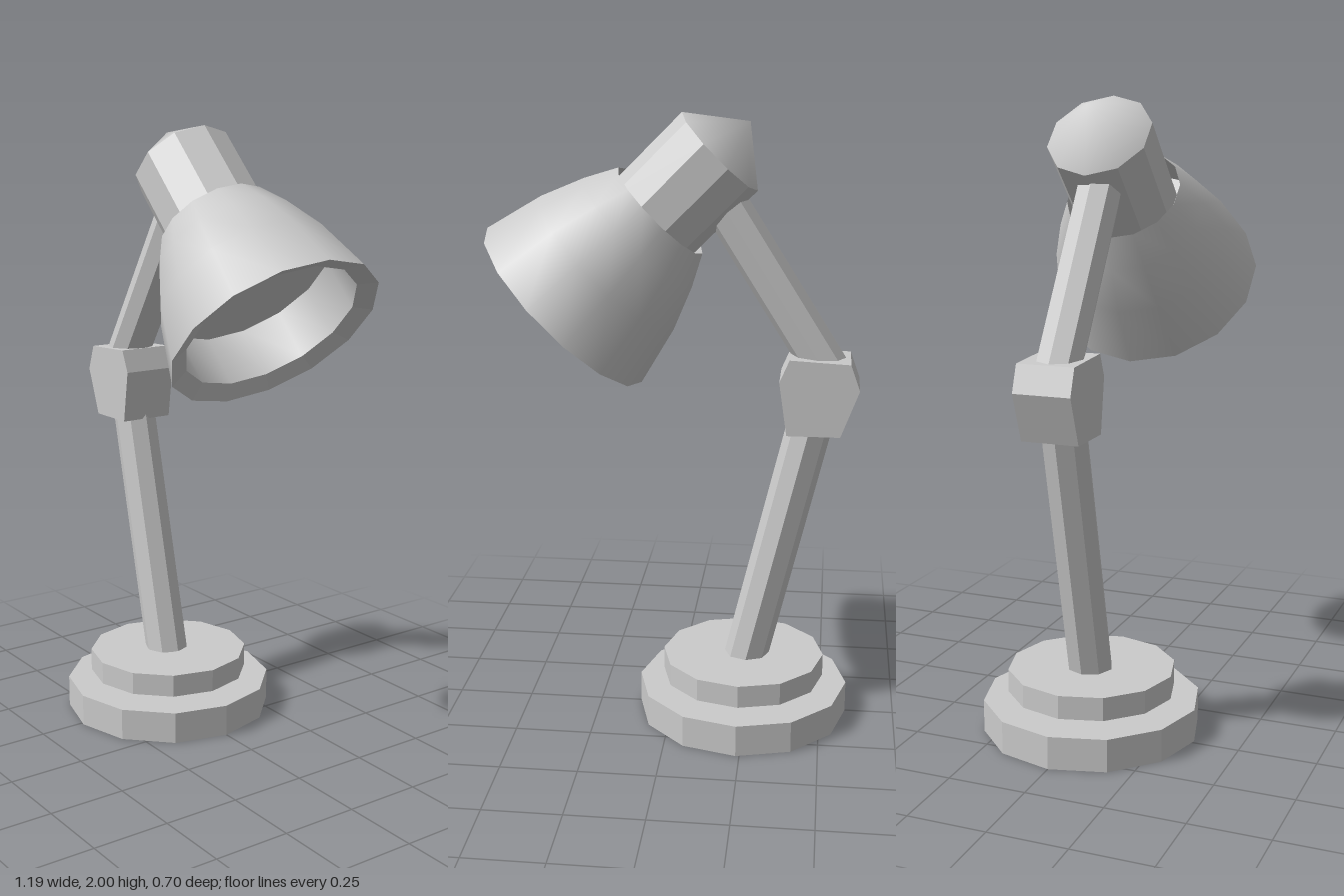
import * as THREE from 'three';
import { mergeVertices } from 'three/addons/utils/BufferGeometryUtils.js';

const flat = new THREE.MeshStandardMaterial({ color: 0xcccccc, flatShading: true });
const flatThin = new THREE.MeshStandardMaterial({ color: 0xcccccc, flatShading: true, side: THREE.DoubleSide });
const smoothThin = new THREE.MeshStandardMaterial({ color: 0xcccccc, side: THREE.DoubleSide });

function part(parent, name, geometry, material) {
  const mesh = new THREE.Mesh(geometry, material);
  mesh.name = name;
  parent.add(mesh);
  return mesh;
}

// Faceted rod between two points
function rod(parent, name, from, to, radius, sides) {
  const a = new THREE.Vector3(...from);
  const b = new THREE.Vector3(...to);
  const axis = b.clone().sub(a);
  const geometry = new THREE.CylinderGeometry(radius, radius, axis.length(), sides, 1, false, Math.PI / 2);
  const mesh = part(parent, name, geometry, flat);
  mesh.position.copy(a).add(b).multiplyScalar(0.5);
  mesh.quaternion.setFromUnitVectors(new THREE.Vector3(0, 1, 0), axis.normalize());
}

// Surface of revolution from [radius, height] pairs, with normals shared around the seam
function lathe(points, sides) {
  const geometry = new THREE.LatheGeometry(points.map(p => new THREE.Vector2(...p)), sides, Math.PI / 2);
  geometry.deleteAttribute('normal');
  geometry.deleteAttribute('uv');
  const merged = mergeVertices(geometry);
  merged.computeVertexNormals();
  return merged;
}

export function createModel() {
  const lamp = new THREE.Group();
  lamp.name = 'deskLamp';

  // Two hollow discs, open underneath, with a narrow gap between them
  for (const [name, radius, bottom, top] of [['base', 0.35, 0, 0.105], ['upperBase', 0.27, 0.13, 0.205]]) {
    const disc = part(lamp, name, lathe([[radius, bottom], [radius, top], [0, top]], 12), flatThin);
    disc.position.x = -0.238;
  }

  // Arms
  rod(lamp, 'lowerArm', [-0.247, 0.19, 0], [-0.448, 1.04, 0], 0.073, 8);
  rod(lamp, 'upperArm', [-0.492, 1.2, 0], [-0.146, 1.745, 0], 0.072, 8);

  // Elbow block
  const outline = [[-0.597, 1.156], [-0.54, 1.003], [-0.37, 1.003], [-0.344, 1.177], [-0.375, 1.25], [-0.567, 1.24]];
  const shape = new THREE.Shape(outline.map(p => new THREE.Vector2(...p)));
  const elbow = new THREE.ExtrudeGeometry(shape, { depth: 0.184, bevelEnabled: false });
  elbow.translate(0, 0, -0.096);
  part(lamp, 'elbowJoint', elbow, flat);

  // Head: local y runs from the socket towards the shade opening
  const head = new THREE.Group();
  head.name = 'lampHead';
  head.position.set(0.041, 1.698, -0.003);
  head.rotation.z = -Math.PI * 0.75;
  lamp.add(head);

  rod(head, 'bulbSocket', [0, -0.262, -0.005], [0, 0.06, -0.005], 0.167, 10);
  const cap = part(head, 'socketCap', lathe([[0, -0.393], [0.167, -0.262]], 10), smoothThin);
  cap.position.z = -0.005;

  // Shade: smooth shell, sloping faceted lip, straight inner wall and inner disc
  part(head, 'shade', lathe([[0.187, 0], [0.24, 0.1], [0.297, 0.239], [0.348, 0.437]], 14), smoothThin);
  part(head, 'shadeLip', lathe([[0.348, 0.437], [0.288, 0.41]], 14), flatThin);
  part(head, 'shadeInnerWall', lathe([[0.288, 0.41], [0.287, 0.235]], 14), smoothThin);
  part(head, 'shadeInnerDisc', lathe([[0.287, 0.235], [0, 0.235]], 14), flatThin);

  return lamp;
}
